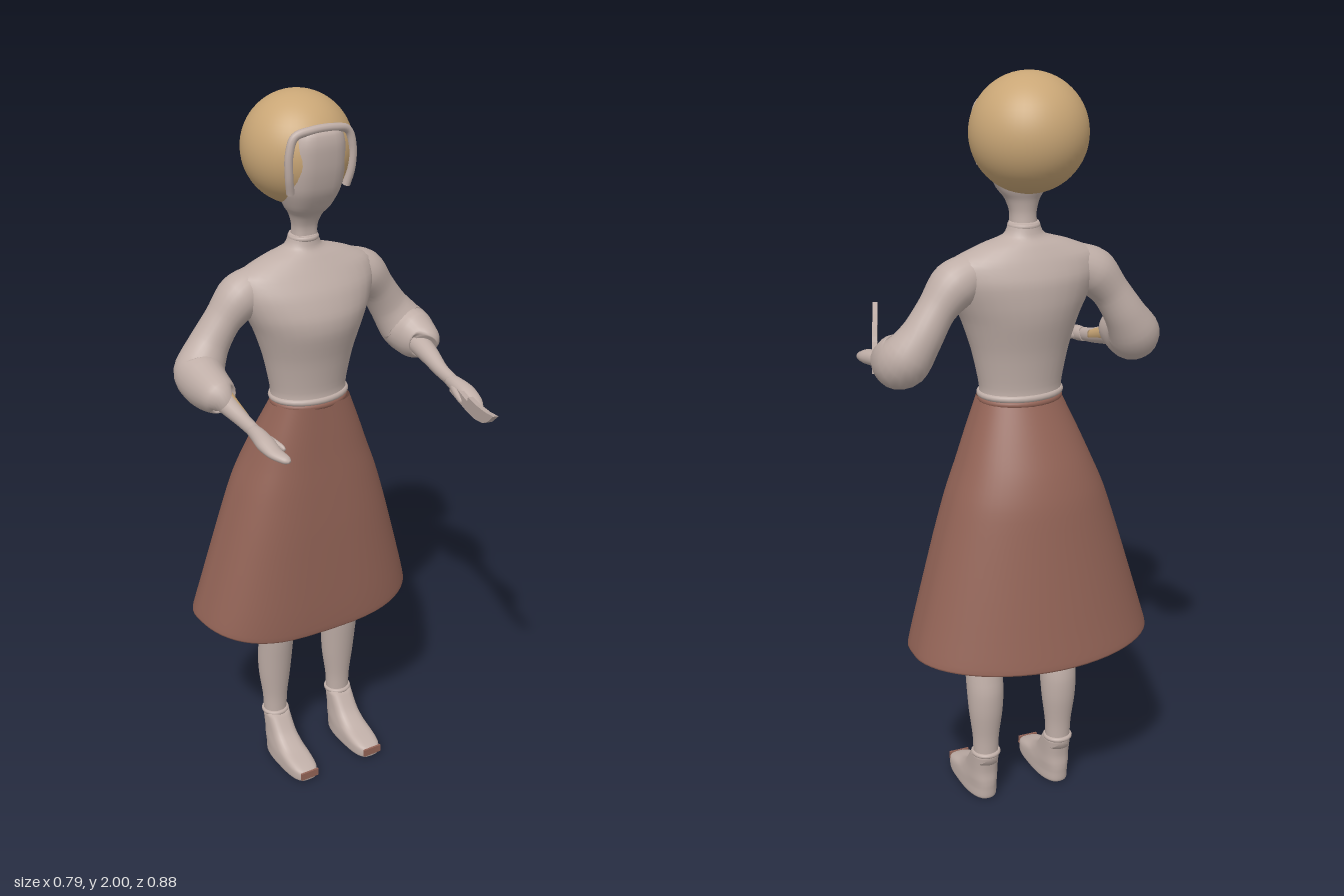
import * as THREE from 'three';

const mat = (name, color, side = THREE.FrontSide) => {
  const m = new THREE.MeshStandardMaterial({ color, side });
  m.name = name;
  return m;
};

// Closed rings of points joined into a smooth skin; at(i, j) gives point j of ring i
function skin(rings, segs, at, caps = true) {
  const pos = [], idx = [];
  for (let i = 0; i < rings; i++) for (let j = 0; j < segs; j++) pos.push(...at(i, j / segs * Math.PI * 2));
  for (let i = 0; i < rings - 1; i++) for (let j = 0; j < segs; j++) {
    const k = (j + 1) % segs, a = i * segs + j, b = i * segs + k;
    idx.push(a, b, a + segs, b, b + segs, a + segs);
  }
  if (caps) for (const i of [0, rings - 1]) {
    const c = [0, 0, 0], n = pos.length / 3;
    for (let j = 0; j < segs; j++) for (let k = 0; k < 3; k++) c[k] += pos[(i * segs + j) * 3 + k] / segs;
    pos.push(...c);
    for (let j = 0; j < segs; j++) {
      const a = i * segs + j, b = i * segs + (j + 1) % segs;
      idx.push(n, ...(i ? [a, b] : [b, a]));
    }
  }
  const g = new THREE.BufferGeometry();
  g.setAttribute('position', new THREE.Float32BufferAttribute(pos, 3));
  g.setIndex(idx);
  g.computeVertexNormals();
  return g;
}

// Smoothly resample rows of numbers
function resample(rows, steps) {
  const n = rows[0].length, curves = [];
  for (let k = 0; k < n; k += 3)
    curves.push(new THREE.CatmullRomCurve3(rows.map(r => new THREE.Vector3(r[k], r[k + 1] ?? 0, r[k + 2] ?? 0)), false, 'catmullrom', 0.4));
  const count = (rows.length - 1) * steps;
  return Array.from({ length: count + 1 }, (_, i) => curves.flatMap(c => c.getPoint(i / count).toArray()));
}

const power = (v, n) => Math.sign(v) * Math.abs(v) ** (2 / n);

// Level rings from bottom to top; rows are [y, half width, front z, back z, centre x]
function body(rows, { front = 2, back = 2, segs = 32, caps = true, drop = () => 0 } = {}) {
  const r = resample(rows, 4);
  return skin(r.length, segs, (i, t) => {
    const [y, w, zf, zb, cx] = r[i], c = Math.cos(t), s = -Math.sin(t), n = s > 0 ? front : back;
    return [(cx || 0) + w * power(c, n), y + drop(y, s), (zf + zb) / 2 + (zf - zb) / 2 * power(s, n)];
  }, caps);
}

// Rings square to a path; rows are [x, y, z, half width, half height]
function limb(rows, mirror = 1, segs = 20) {
  const r = resample(rows.map(([x, ...q]) => [x * mirror, ...q]), 5);
  const p = r.map(q => new THREE.Vector3(q[0], q[1], q[2]));
  const frames = p.map((_, i) => {
    const t = p[Math.min(i + 1, p.length - 1)].clone().sub(p[Math.max(i - 1, 0)]).normalize();
    const u = new THREE.Vector3(1, 0, 0).addScaledVector(t, -t.x).normalize();
    return [u, t.clone().cross(u)];
  });
  return skin(r.length, segs, (i, a) => p[i].clone()
    .addScaledVector(frames[i][0], r[i][3] * Math.cos(a))
    .addScaledVector(frames[i][1], r[i][4] * Math.sin(a)).toArray());
}

export function createModel() {
  const pale = mat('pale clay', 0xbfaea7);
  const paleThin = pale;
  const brown = mat('skirt brown', 0x926356, THREE.DoubleSide);
  const gold = mat('hair gold', 0xc9a676);
  const model = new THREE.Group();
  model.name = 'figure';
  const add = (name, geometry, material, parent = model) => {
    const m = new THREE.Mesh(geometry, material);
    m.name = name;
    parent.add(m);
    return m;
  };

  // Hair, face and the raised rim around the face
  add('hair', new THREE.SphereGeometry(0.148, 48, 32), gold).position.set(0, 1.852, -0.207);
  add('head', body([
    [1.60, 0.036, -0.145, -0.215], [1.65, 0.033, -0.145, -0.21], [1.685, 0.043, -0.13, -0.215],
    [1.71, 0.06, -0.107, -0.225], [1.76, 0.079, -0.078, -0.24], [1.82, 0.086, -0.062, -0.25],
    [1.88, 0.083, -0.056, -0.25], [1.915, 0.072, -0.062, -0.24], [1.93, 0.05, -0.085, -0.22],
  ], { front: 3 }), pale);
  const rim = [[0.083, 1.765, -0.1], [0.092, 1.81, -0.09], [0.093, 1.87, -0.086], [0.078, 1.912, -0.084], [0.035, 1.925, -0.076]];
  const rimPath = [...rim, ...rim.slice().reverse().map(([x, y, z]) => [-x, y, z])].map(p => new THREE.Vector3(...p));
  add('faceRim', new THREE.TubeGeometry(new THREE.CatmullRomCurve3(rimPath), 64, 0.011, 10), pale);

  // Blouse with collar and waist hem
  add('blouse', body([
    [1.175, 0.112, -0.077, -0.248], [1.21, 0.112, -0.08, -0.246], [1.3, 0.131, -0.065, -0.258],
    [1.38, 0.157, -0.044, -0.276], [1.43, 0.18, -0.044, -0.282], [1.49, 0.205, -0.066, -0.28],
    [1.54, 0.2, -0.098, -0.262], [1.575, 0.125, -0.122, -0.243], [1.597, 0.055, -0.137, -0.227],
    [1.63, 0.038, -0.142, -0.218],
  ]), pale);
  const ring = (name, r, tube, x, y, z, sz, material) => {
    const m = add(name, new THREE.TorusGeometry(r, tube, 10, 32).rotateX(Math.PI / 2), material);
    m.position.set(x, y, z);
    m.scale.z = sz;
  };
  ring('collar', 0.034, 0.008, 0, 1.62, -0.18, 1, pale);
  ring('blouseHem', 0.108, 0.009, 0, 1.183, -0.162, 0.78, pale);
  ring('waistband', 0.105, 0.009, 0, 1.168, -0.162, 0.8, brown);

  // Skirt: flat in front, full at the back, open below with a turned hem
  add('skirt', body([
    [0.56, 0.3, -0.06, -0.41], [0.521, 0.323, -0.055, -0.43], [0.516, 0.331, -0.046, -0.44],
    [0.6, 0.308, -0.045, -0.424], [0.8, 0.25, -0.051, -0.386], [0.92, 0.212, -0.058, -0.362],
    [1.0, 0.18, -0.064, -0.334], [1.08, 0.148, -0.069, -0.295], [1.17, 0.11, -0.075, -0.248],
  ], {
    front: 3, segs: 56, caps: false,
    drop: (y, s) => -Math.max(0, 1 - Math.max(0, y - 0.516) / 0.45) * s * s * (s > 0 ? 0.045 : 0.012),
  }), brown);

  for (const [side, m] of [['left', 1], ['right', -1]]) {
    // Leg, ankle ring and shoe
    const x = 0.11 * m;
    add(side + 'Leg', body([
      [0.12, 0.034, -0.158, -0.222, x], [0.2, 0.037, -0.156, -0.224, x], [0.28, 0.047, -0.146, -0.234, x],
      [0.35, 0.051, -0.135, -0.235, x], [0.45, 0.051, -0.118, -0.218, x], [0.6, 0.056, -0.105, -0.22, x],
      [0.85, 0.075, -0.09, -0.24, x * 0.9],
    ], { segs: 24 }), pale);
    ring(side + 'AnkleRing', 0.034, 0.007, x, 0.15, -0.19, 1, pale);
    add(side + 'Shoe', body([
      [0.004, 0.037, 0.005, -0.205, x], [0.012, 0.044, 0.013, -0.214, x], [0.036, 0.044, 0.012, -0.216, x],
      [0.05, 0.043, -0.018, -0.217, x], [0.066, 0.041, -0.068, -0.217, x], [0.095, 0.038, -0.112, -0.216, x],
      [0.15, 0.036, -0.153, -0.224, x],
    ], { front: 3.2, back: 2.4 }), pale);
    add(side + 'ToeCap', new THREE.BoxGeometry(0.058, 0.022, 0.006), brown).position.set(x, 0.028, 0.012);

    // Full sleeve bent at the elbow; the right one reaches further forward
    const cuff = m > 0 ? -0.085 : -0.045;
    add(side + 'Sleeve', limb([
      [0.12, 1.52, -0.185, 0.05, 0.05], [0.19, 1.485, -0.187, 0.062, 0.062], [0.24, 1.43, -0.192, 0.05, 0.052],
      [0.283, 1.365, -0.195, 0.055, 0.055], [0.322, 1.305, -0.178, 0.068, 0.068],
      [0.33, 1.288, -0.125, 0.06, 0.068], [0.332, 1.284, cuff, 0.047, 0.048], [0.328, 1.28, cuff + 0.008, 0.03, 0.03],
    ], m, 24), pale);

    // Forearm, flat hand and thumb
    add(side + 'Forearm', limb([
      [0.325, 1.285, -0.15, 0.034, 0.034], [0.318, 1.265, -0.05, 0.028, 0.028],
      [0.309, 1.243, 0.03, 0.019, 0.021], [0.306, 1.232, 0.09, 0.016, 0.019],
    ], m), pale);
    add(side + 'Hand', limb([
      [0.306, 1.232, 0.075, 0.016, 0.018], [0.306, 1.228, 0.11, 0.021, 0.021], [0.308, 1.222, 0.15, 0.025, 0.02],
      [0.306, 1.213, 0.19, 0.021, 0.014], [0.294, 1.206, 0.225, 0.014, 0.01], [0.289, 1.203, 0.236, 0.005, 0.004],
    ], m), pale);
    add(side + 'Thumb', limb([
      [0.3, 1.228, 0.095, 0.01, 0.012], [0.285, 1.22, 0.135, 0.009, 0.011],
      [0.275, 1.213, 0.17, 0.007, 0.009], [0.273, 1.211, 0.183, 0.003, 0.004],
    ], m, 12), pale);
  }

  // Warm inner side of the right forearm
  add('rightForearmLining', limb([
    [0.311, 1.275, -0.07, 0.024, 0.024], [0.308, 1.26, -0.02, 0.019, 0.02], [0.304, 1.245, 0.03, 0.015, 0.016],
  ], -1), gold);

  // Flat blade with handle, held in the left hand and pointing inward
  const blade = new THREE.Shape([
    [-0.12, 1.195], [0.04, 1.206], [0.12, 1.217], [0.18, 1.234], [0.22, 1.255], [0.265, 1.29],
    [0.2, 1.273], [0.12, 1.258], [0.05, 1.25], [0.045, 1.236], [-0.12, 1.228],
  ].map(p => new THREE.Vector2(...p)));
  const bladeMesh = add('blade', new THREE.ExtrudeGeometry(blade, { depth: 0.014, bevelEnabled: false }).translate(0, 0, -0.007), paleThin);
  bladeMesh.rotation.y = -1.912;
  bladeMesh.position.set(0.276, 0, 0.187);

  return model;
}
